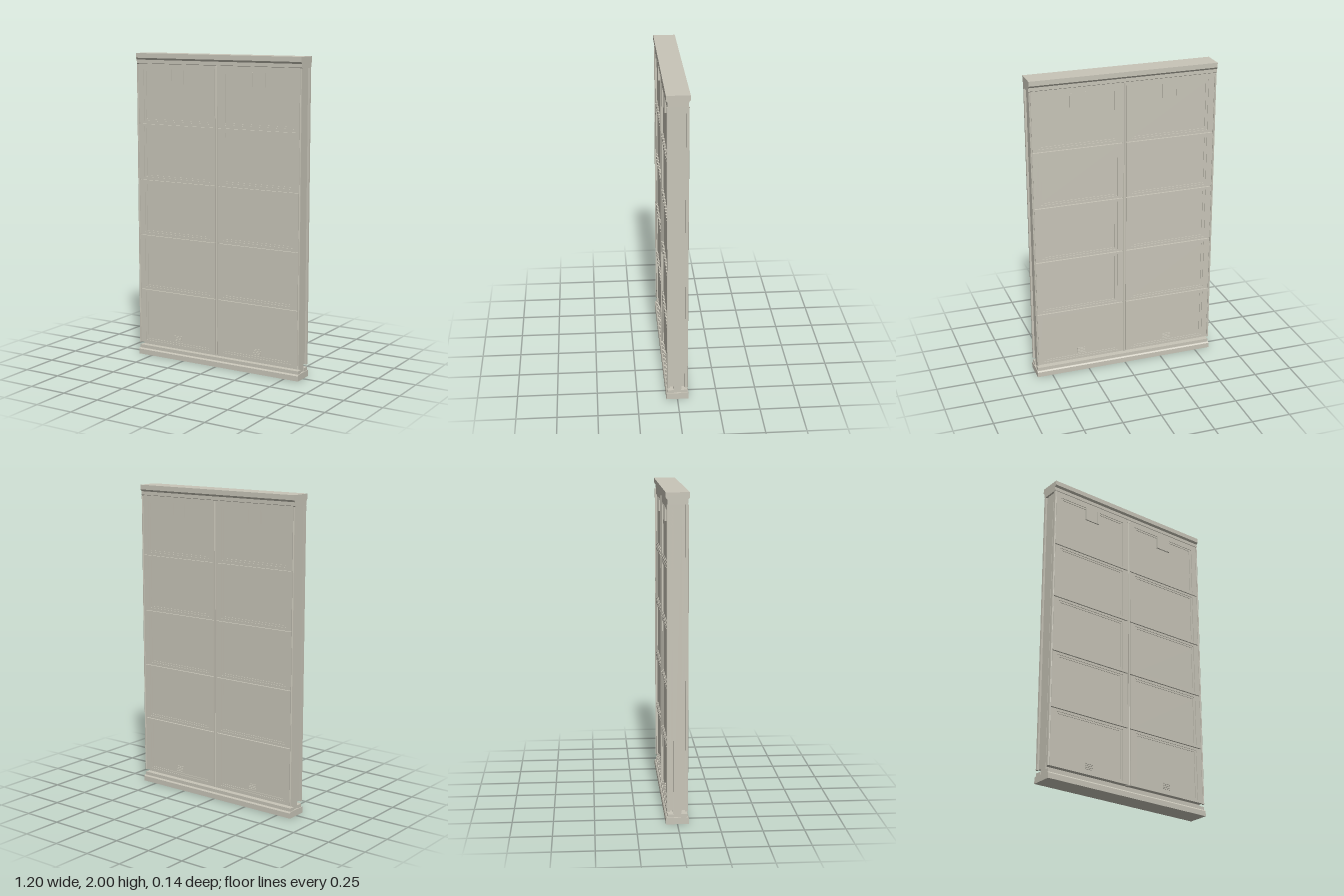
import * as THREE from 'three';

const wall = new THREE.MeshStandardMaterial({ color: 0xc8c5b8, flatShading: true });

function add(parent, name, geometry, x = 0, y = 0, z = 0) {
  const mesh = new THREE.Mesh(geometry, wall);
  mesh.name = name;
  mesh.position.set(x, y, z);
  parent.add(mesh);
  return mesh;
}

function box(parent, name, x0, x1, y0, y1, z0, z1) {
  return add(parent, name, new THREE.BoxGeometry(x1 - x0, y1 - y0, z1 - z0),
    (x0 + x1) / 2, (y0 + y1) / 2, (z0 + z1) / 2);
}

// Rectangular frame in the xy plane, with a rectangular opening
function frame(parent, name, w, h, holeW, holeH, x, y, z0, z1) {
  const rect = (P, a, b) => new P([[-a, -b], [a, -b], [a, b], [-a, b]]
    .map(([px, py]) => new THREE.Vector2(px / 2, py / 2)));
  const shape = rect(THREE.Shape, w, h);
  shape.holes.push(rect(THREE.Path, holeW, holeH));
  return add(parent, name,
    new THREE.ExtrudeGeometry(shape, { depth: z1 - z0, bevelEnabled: false }), x, y, z0);
}

// Moulding: a (z, y) half profile mirrored in z and run along x
function moulding(parent, name, half, length) {
  const pts = [...half, ...half.slice().reverse().map(([z, y]) => [-z, y])];
  const shape = new THREE.Shape(pts.map(([z, y]) => new THREE.Vector2(z, y)));
  const geometry = new THREE.ExtrudeGeometry(shape, { depth: length, bevelEnabled: false });
  geometry.translate(0, 0, -length / 2).rotateY(-Math.PI / 2);
  return add(parent, name, geometry);
}

// One decorated face of the wall, looking toward +z
function makeFace() {
  const face = new THREE.Group();
  const bottom = 0.08, pitch = 0.367, width = 0.575;

  for (const side of [-1, 1]) {
    const x = side * 0.2985;
    for (let row = 0; row < 5; row++) {
      const panel = new THREE.Group();
      panel.name = 'panel';
      face.add(panel);
      const y = bottom + pitch * (row + 0.5);
      const h = pitch - 0.006;
      // Recessed field with a stepped surround
      box(panel, 'panelField', x - width / 2, x + width / 2, y - h / 2, y + h / 2, 0.024, 0.05);
      frame(panel, 'panelFrame', width, h, 0.5, 0.33, x, y, 0.05, 0.058);
      frame(panel, 'panelStep', 0.5, 0.33, 0.468, 0.306, x, y, 0.05, 0.054);
    }
    box(face, 'panelBacking', x - width / 2, x + width / 2, bottom + 0.003, 1.93, 0.022, 0.046);

    // Hanging plate at the top, with a raised outer edge
    const px = side * 0.298;
    box(face, 'hangingPlate', px - 0.052, px + 0.052, 1.81, 1.9, 0.05, 0.058);
    for (const e of [-1, 1]) {
      const ex = px + e * 0.044;
      box(face, 'plateEdge', ex - 0.008, ex + 0.008, 1.81, 1.9, 0.058, 0.06);
    }

    // Vent slats near the floor
    for (let i = 0; i < 4; i++) {
      const sy = 0.118 + i * 0.011;
      box(face, 'ventSlat', px - 0.027, px + 0.027, sy, sy + 0.006, 0.05, 0.055);
    }

    // Corner post: square stem with a slim round bead
    box(face, 'cornerPost', side * 0.5925 - 0.0065, side * 0.5925 + 0.0065, bottom, 1.93, 0.046, 0.06);
    add(face, 'cornerBead', new THREE.CylinderGeometry(0.005, 0.005, 1.85, 8),
      side * 0.592, 1.005, 0.06);
  }

  // Centre post between the two columns
  box(face, 'centrePost', -0.009, 0.009, bottom, 1.93, 0.022, 0.056);
  add(face, 'centreBead', new THREE.CylinderGeometry(0.006, 0.006, 1.85, 8), 0, 1.005, 0.058);

  // Top rail and the narrow ledge standing clear of the panels
  box(face, 'topRail', -0.585, 0.585, 1.912, 1.94, 0.022, 0.058);
  box(face, 'baseLedge', -0.595, 0.595, 0.04, 0.062, 0.022, 0.06);
  return face;
}

export function createModel() {
  const model = new THREE.Group();
  model.name = 'wallPanel';

  // Central slab carrying both faces
  box(model, 'core', -0.588, 0.588, 0.02, 1.98, -0.025, 0.025);

  // Base and cornice
  moulding(model, 'base', [[0.07, 0], [0.07, 0.033], [0.064, 0.041]], 1.2);
  moulding(model, 'cornice',
    [[0.055, 1.93], [0.06, 1.936], [0.06, 1.958], [0.07, 1.97], [0.07, 2]], 1.2);

  // The same face on front and back
  const front = makeFace();
  front.name = 'frontFace';
  const back = makeFace();
  back.name = 'backFace';
  back.rotation.y = Math.PI;
  model.add(front, back);
  return model;
}
